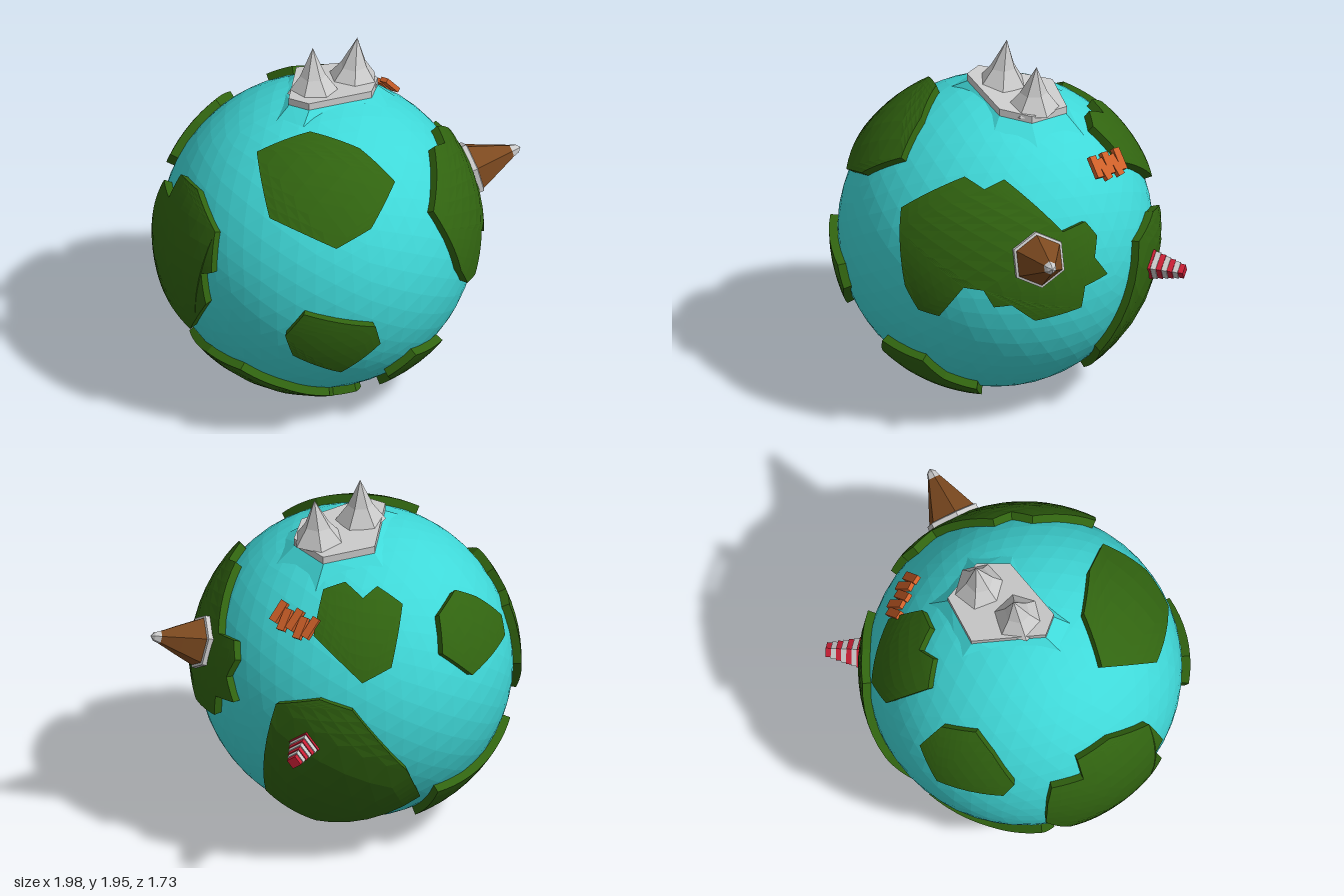
import * as THREE from 'three';
import { ConvexGeometry } from 'three/addons/geometries/ConvexGeometry.js';

const CENTER = new THREE.Vector3(-0.115, 0.87, -0.015);
const SEA = 0.825, LAND = 0.868, ROOT = 0.79;
const V = (x, y, z) => new THREE.Vector3(x, y, z);
const mat = (color) => new THREE.MeshStandardMaterial({ color, flatShading: true });
const TEAL = mat(0x3fd8d8), GREEN = mat(0x316410), BROWN = mat(0x7d4a20);
const ORANGE = mat(0xcf6029), RED = mat(0xcc2036), GREY = mat(0xcccccc);

function add(parent, name, geometry, material) {
  const mesh = new THREE.Mesh(geometry, material);
  mesh.name = name;
  parent.add(mesh);
  return mesh;
}

// Points on the land sphere, given as flat offsets seen from a heading and an elevation
function onSphere(heading, elevation, pts) {
  const a = THREE.MathUtils.degToRad(heading), e = THREE.MathUtils.degToRad(elevation);
  const out = V(Math.sin(a) * Math.cos(e), Math.sin(e), Math.cos(a) * Math.cos(e));
  const right = V(Math.cos(a), 0, -Math.sin(a));
  const up = out.clone().cross(right);
  return pts.map(([r, u]) => {
    const t = Math.sqrt(Math.max(0, LAND * LAND - r * r - u * u));
    return V(0, 0, 0).addScaledVector(right, r).addScaledVector(up, u).addScaledVector(out, t);
  });
}

// Raised plate following the sphere inside an outline, with side walls
function landGeometry(outline, n = 6) {
  const mid = outline.reduce((s, p) => s.add(p.clone().normalize()), V(0, 0, 0)).normalize();
  const toFlat = new THREE.Quaternion().setFromUnitVectors(mid, V(0, 0, 1));
  const back = toFlat.clone().invert();
  const flat = outline.map((p) => {
    const q = p.clone().applyQuaternion(toFlat);
    return new THREE.Vector2(q.x / q.z, q.y / q.z);
  });
  if (THREE.ShapeUtils.isClockWise(flat)) flat.reverse();
  const lift = (p, r) => V(p.x, p.y, 1).normalize().multiplyScalar(r).applyQuaternion(back);
  const pos = [];
  const tri = (...ps) => ps.forEach((p) => pos.push(p.x, p.y, p.z));
  for (const f of THREE.ShapeUtils.triangulateShape(flat, [])) {
    let [a, b, c] = f.map((i) => flat[i]);
    if (b.clone().sub(a).cross(c.clone().sub(a)) < 0) [b, c] = [c, b];
    const at = (i, j) => lift(a.clone().addScaledVector(b.clone().sub(a), i / n)
      .addScaledVector(c.clone().sub(a), j / n), LAND);
    for (let i = 0; i < n; i++) for (let j = 0; j < n - i; j++) {
      tri(at(i, j), at(i + 1, j), at(i, j + 1));
      if (i + j < n - 1) tri(at(i + 1, j), at(i + 1, j + 1), at(i, j + 1));
    }
  }
  flat.forEach((a, k) => {
    const b = flat[(k + 1) % flat.length];
    for (let i = 0; i < n; i++) {
      const p = a.clone().lerp(b, i / n), q = a.clone().lerp(b, (i + 1) / n);
      tri(lift(p, ROOT), lift(q, ROOT), lift(q, LAND));
      tri(lift(p, ROOT), lift(q, LAND), lift(p, LAND));
    }
  });
  const g = new THREE.BufferGeometry();
  g.setAttribute('position', new THREE.Float32BufferAttribute(pos, 3));
  g.computeVertexNormals();
  return g;
}

const lathe = (pts, sides, start = 0) =>
  new THREE.LatheGeometry(pts.map(([r, y]) => new THREE.Vector2(r, y)), sides, start);

export function createModel() {
  const model = new THREE.Group();
  model.name = 'planet';
  const globe = new THREE.Group();
  globe.name = 'globe';
  globe.position.copy(CENTER);
  model.add(globe);
  add(globe, 'ocean', new THREE.IcosahedronGeometry(SEA, 8), TEAL);

  // Land masses
  const lands = {
    upperFrontLand: onSphere(0, 0, [[-.145, .81], [.075, .75], [.215, .605], [.025, .45],
      [-.175, .38], [-.465, .50], [-.425, .72]]),
    frontIsland: onSphere(0, 0, [[-.365, .03], [.005, -.08], [.04, -.205], [-.15, -.39],
      [-.405, -.25], [-.45, -.115]]),
    lowerFrontIsland: onSphere(0, 0, [[.285, -.41], [.49, -.455], [.47, -.59], [.50, -.66],
      [.335, -.78], [.165, -.70], [.195, -.62], [.145, -.54]]),
    volcanoLand: onSphere(90, 0, [[-.645, .415], [-.335, .605], [-.255, .56], [-.145, .60],
      [.12, .34], [.255, .36], [.315, .275], [.29, .17], [.365, .055], [.225, .03], [.205, -.09],
      [-.055, -.12], [-.18, -.015], [-.27, -.025], [-.32, .07], [-.415, .08], [-.525, -.105],
      [-.615, -.09], [-.67, .03], [-.67, .31]]),
    lighthouseLand: onSphere(140, -25, [[.14, .53], [.31, .47], [.55, .04], [.56, -.22],
      [-.015, -.425], [-.225, -.15], [-.10, .48]]),
    bridgeLand: onSphere(0, 90, [[.055, .79], [.215, .79], [.415, .58], [.315, .435],
      [.20, .45], [.135, .55], [.045, .515], [-.065, .605]]),
    backIsland: onSphere(217, 25, [[-.26, .02], [-.175, .21], [.01, .275], [.13, .185],
      [.28, .02], [.24, -.08], [-.12, -.16]]),
    sideLand: onSphere(270, 0, [[-.29, .20], [-.25, .33], [-.08, .33], [-.08, .46], [.12, .48],
      [.36, .36], [.42, .15], [.36, .12], [.40, -.05], [.30, -.20], [.20, -.32], [0, -.27],
      [-.17, -.21], [-.31, 0]]),
    bottomLand: [...onSphere(0, 0, [[-.695, -.475], [-.585, -.48], [-.375, -.59], [-.12, -.695],
      [-.065, -.76], [.055, -.75], [.115, -.79]]),
      V(.12, -.84, .17), V(-.02, -.86, .10), V(-.33, -.74, -.20), V(-.66, -.52, -.10)],
    lowerBackLand: [V(-.23, -.47, -.686), V(-.55, -.446, -.50), V(-.75, -.31, -.30),
      V(-.70, -.47, -.20), V(-.40, -.71, -.29), V(-.18, -.71, -.453)],
  };
  for (const [name, outline] of Object.entries(lands)) add(globe, name, landGeometry(outline), GREEN);

  // A group standing on the sphere, its own y pointing outwards
  const stand = (name, dir, height) => {
    const g = new THREE.Group(), d = dir.clone().normalize();
    g.name = name;
    g.position.copy(d).multiplyScalar(height);
    g.quaternion.setFromUnitVectors(V(0, 1, 0), d);
    globe.add(g);
    return g;
  };

  // Six-sided volcano with a pale rim and tip
  const volcano = stand('volcano', V(.845, .225, .03), .855);
  add(volcano, 'volcanoRim', lathe([[.15, -.03], [.15, .025], [.135, .03]], 6, Math.PI / 6), GREY);
  add(volcano, 'volcanoCone', lathe([[.14, .02], [.085, .14], [.035, .245]], 6, Math.PI / 6), BROWN);
  add(volcano, 'volcanoTip', lathe([[.037, .24], [.025, .275], [0, .295]], 6, Math.PI / 6), GREY);

  // Striped stepped lighthouse
  const tower = stand('lighthouse', V(.575, -.085, -.80), .85);
  for (let i = 0; i < 7; i++) {
    const w = .115 - .01 * i;
    add(tower, 'lighthouseTier', new THREE.BoxGeometry(w, .028, w), i % 2 ? GREY : RED)
      .position.y = .012 + .028 * i;
  }

  // Plank bridge
  const bridge = new THREE.Group();
  bridge.name = 'bridge';
  const out = V(.475, .52, -.455).normalize();
  const along = V(.17, .06, .20).projectOnPlane(out).normalize();
  bridge.setRotationFromMatrix(new THREE.Matrix4().makeBasis(out.clone().cross(along), out, along));
  bridge.position.copy(out).multiplyScalar(.855);
  globe.add(bridge);
  for (let i = 0; i < 5; i++) {
    const plank = add(bridge, 'plank', new THREE.BoxGeometry(.12, .025, .046), ORANGE);
    plank.position.set(i % 2 ? .012 : -.012, 0, (i - 2) * .052);
    plank.rotation.set(.1, i % 2 ? .12 : -.08, 0);
  }

  // Mountain plateau, tilted, with the sea swelling up beneath it
  const rim = [[-.12, -.33], [.16, -.32], [.25, -.10], [.16, .05], [-.21, .11], [-.29, .02], [-.17, -.18]];
  const slabY = (x, z) => 1.718 - .09 * x + .11 * z;
  const slab = [], swell = [];
  for (const [x, z] of rim) {
    const y = slabY(x, z);
    slab.push(V(x, y, z), V(x, y - .04, z));
    const ix = -.03 + (x + .03) * .93, iz = -.1 + (z + .1) * .93;
    swell.push(V(ix, slabY(ix, iz) - .03, iz));
    const ox = -.03 + (x + .03) * 1.5, oz = -.1 + (z + .1) * 1.5;
    const dx = ox - CENTER.x, dz = oz - CENTER.z;
    swell.push(V(ox, CENTER.y + Math.sqrt(SEA * SEA - dx * dx - dz * dz) - .012, oz));
  }
  add(model, 'seaSwell', new ConvexGeometry(swell), TEAL);
  add(model, 'mountainPlateau', new ConvexGeometry(slab), GREY);

  // Peaks: concave cones whose tops lean towards the apex
  const peaks = [
    { base: V(-.13, 1.71, -.05), apex: V(-.12, 1.96, -.08), r: .135, start: .3 },
    { base: V(.12, 1.67, -.14), apex: V(.155, 1.92, -.155), r: .145, start: .8 },
  ];
  for (const { base, apex, r, start } of peaks) {
    const h = apex.y - base.y;
    const g = lathe([[r, 0], [r * .5, h * .38], [r * .2, h * .75], [0, h]], 6, start);
    const p = g.attributes.position;
    for (let i = 0; i < p.count; i++) {
      const k = p.getY(i) / h;
      p.setX(i, p.getX(i) + k * (apex.x - base.x));
      p.setZ(i, p.getZ(i) + k * (apex.z - base.z));
    }
    add(model, 'mountainPeak', g, GREY).position.copy(base);
  }
  return model;
}
